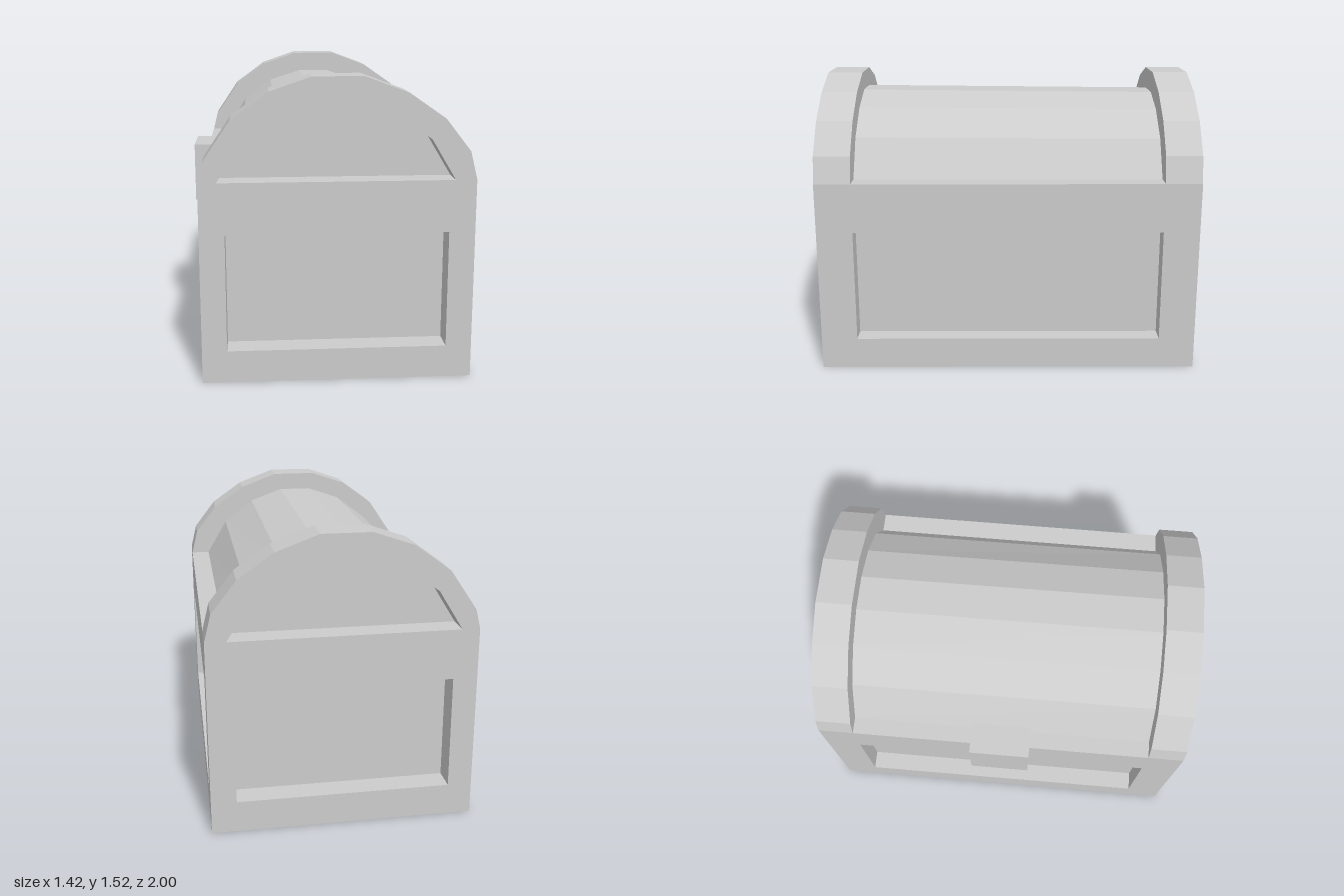
import * as THREE from 'three';

const X0 = -0.645, X1 = 0.71, SEAM = 0.88, SILL = 1.02;
const MID = (X0 + X1) / 2;
const SIDE_DEPTH = 0.1, END_DEPTH = 0.13, ARCH = 0.19;

const vec = (pts) => pts.map(([x, y]) => new THREE.Vector2(x, y));
const rect = (x0, y0, x1, y1) => vec([[x0, y0], [x1, y0], [x1, y1], [x0, y1]]);

// Half-round profiles of the lid, listed from -x to +x
const OUTER = [[X0, SILL], [-0.62, 1.12], [-0.485, 1.32], [-0.3, 1.455], [-0.095, 1.525],
  [0.155, 1.525], [0.37, 1.445], [0.55, 1.32], [0.675, 1.16], [X1, SILL]];
const INNER = [[-0.555, SILL], [-0.43, 1.23], [-0.26, 1.36], [-0.07, 1.425],
  [0.12, 1.425], [0.31, 1.355], [0.485, 1.22], [0.605, SILL]];
const BACK_DROP = 0.96; // the barrel sinks slightly towards the back

export function createModel() {
  const model = new THREE.Group();
  const material = new THREE.MeshStandardMaterial({ color: 0xcccccc, flatShading: true });

  const add = (name, geometry, parent = model) => {
    const mesh = new THREE.Mesh(geometry, material);
    mesh.name = name;
    parent.add(mesh);
    return mesh;
  };
  const box = (name, x0, x1, y0, y1, z0, z1, parent) =>
    add(name, new THREE.BoxGeometry(x1 - x0, y1 - y0, z1 - z0), parent)
      .position.set((x0 + x1) / 2, (y0 + y1) / 2, (z0 + z1) / 2);
  const plate = (outline, hole, depth) => {
    const shape = new THREE.Shape(outline);
    if (hole) shape.holes.push(new THREE.Path(hole));
    return new THREE.ExtrudeGeometry(shape, { depth, bevelEnabled: false });
  };

  // Body: a core whose faces are the sunken panels, ringed by four frames
  const body = new THREE.Group();
  body.name = 'body';
  model.add(body);
  const zIn = 1 - END_DEPTH;
  box('bodyCore', X0 + SIDE_DEPTH, X1 - SIDE_DEPTH, 0, SEAM, -zIn, zIn, body);

  const endFrame = plate(rect(X0, 0, X1, SEAM), rect(-0.52, 0.165, 0.58, 0.76), END_DEPTH);
  add('frontFrame', endFrame, body).position.z = zIn;
  add('backFrame', endFrame, body).position.z = -1;

  const sideFrame = plate(rect(-zIn, 0, zIn, SEAM), rect(-0.81, 0.165, 0.81, 0.76), SIDE_DEPTH);
  sideFrame.rotateY(Math.PI / 2);
  add('leftFrame', sideFrame, body).position.x = X1 - SIDE_DEPTH;
  add('rightFrame', sideFrame, body).position.x = X0;

  // Lid: rim slab, two end arches and the barrel between them
  const lid = new THREE.Group();
  lid.name = 'lid';
  model.add(lid);
  box('lidRim', X0, X1, SEAM, SILL, -1, 1, lid);

  const arch = (drop) => {
    const inner = INNER.map(([x, y]) => [x, SILL + (y - SILL) * drop]);
    return plate(vec([...OUTER, ...inner.reverse()]), null, ARCH);
  };
  add('frontArch', arch(1), lid).position.z = 1 - ARCH;
  add('backArch', arch(BACK_DROP), lid).position.z = -1;

  const barrel = plate(vec(INNER), null, 2 * zIn).translate(0, 0, -zIn);
  const p = barrel.attributes.position;
  for (let i = 0; i < p.count; i++) {
    if (p.getZ(i) < 0) p.setY(i, SILL + (p.getY(i) - SILL) * BACK_DROP);
  }
  add('barrelLid', barrel, lid);

  // Clasp over the seam
  box('clasp', -0.71, -0.545, 0.75, 1.07, -0.16, 0.16);

  return model;
}
